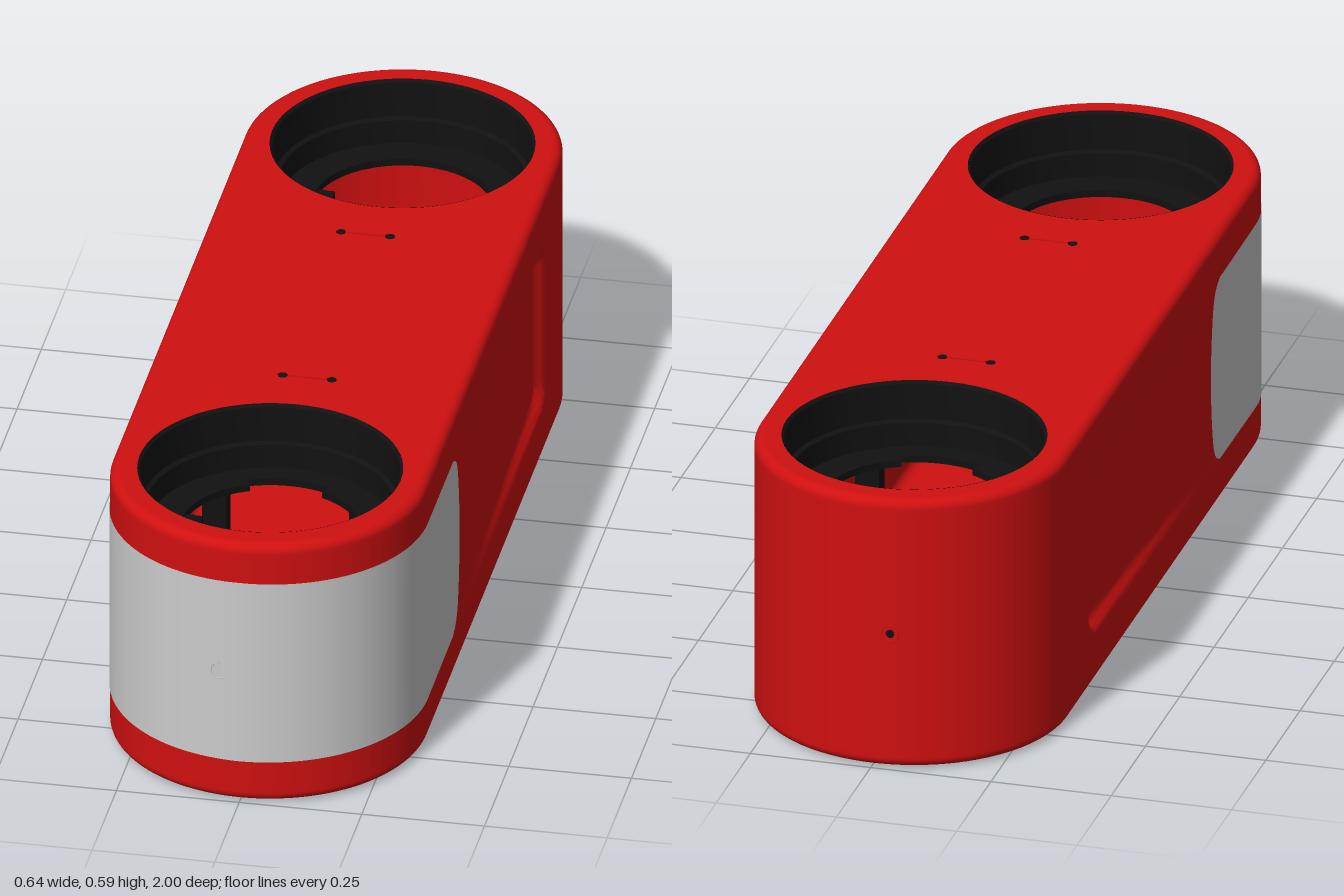
import * as THREE from 'three';
import { toCreasedNormals } from 'three/addons/utils/BufferGeometryUtils.js';

const R = 0.32, C = 0.68, BOTTOM = 0.004, TOP = 0.59, FILLET = 0.02;
const QUARTER = R * Math.PI / 2, HALF = 2 * QUARTER + 2 * C;

const paint = (color) => new THREE.MeshStandardMaterial({ color, side: THREE.DoubleSide });
const red = paint(0xd01010), black = paint(0x111111), grey = paint(0xcccccc), pale = paint(0xffffff);

function add(parent, name, geometry, material, x = 0, y = 0, z = 0) {
  const mesh = new THREE.Mesh(geometry, material);
  mesh.name = name;
  mesh.position.set(x, y, z);
  parent.add(mesh);
  return mesh;
}

// Point on the stadium outline, s measured from the front tip, positive towards +x
function outline(s) {
  const a = Math.abs(s), side = Math.sign(s) || 1;
  let x, z, nx, nz;
  if (a > QUARTER && a < QUARTER + 2 * C) {
    [x, z, nx, nz] = [R, C + QUARTER - a, 1, 0];
  } else {
    const t = (a <= QUARTER ? a : a - 2 * C) / R;
    [nx, nz] = [Math.sin(t), Math.cos(t)];
    [x, z] = [R * nx, (a <= QUARTER ? C : -C) + R * nz];
  }
  return { x: x * side, z, nx: nx * side, nz };
}

// Grid surface from a rule point(u, v), with u and v from 0 to 1
function surface(point, cols, rows) {
  const pos = [], index = [];
  for (let j = 0; j <= rows; j++)
    for (let i = 0; i <= cols; i++) pos.push(...point(i / cols, j / rows));
  for (let j = 0; j < rows; j++)
    for (let i = 0; i < cols; i++) {
      const a = j * (cols + 1) + i, b = a + cols + 1;
      index.push(a, a + 1, b, a + 1, b + 1, b);
    }
  const g = new THREE.BufferGeometry();
  g.setAttribute('position', new THREE.Float32BufferAttribute(pos, 3));
  g.setIndex(index);
  g.computeVertexNormals();
  return g;
}

// Shallow side recess that deepens towards the back, with rounded corners
function recess(p, y) {
  if (Math.abs(p.nx) < 0.999 || p.z > 0.42 || p.z < -0.56) return 0;
  const t = (0.42 - p.z) / 0.95;
  const hy = 0.205 - 0.02 * t, r = 0.05;
  const qx = Math.abs(p.z - 0.08) - 0.61 + r, qy = Math.abs(y - 0.3) - hy + r;
  const d = Math.hypot(Math.max(qx, 0), Math.max(qy, 0)) + Math.min(Math.max(qx, qy), 0) - r;
  return 0.02 * Math.min(t, 1) * THREE.MathUtils.smoothstep(-d, 0, 0.022);
}

function wallPoint(u, v) {
  const p = outline((u * 2 - 1) * HALF);
  // Rounded lower and upper edges take the first and last tenth of the rows
  let y, inset = 0;
  if (v < 0.1 || v > 0.9) {
    const a = (v < 0.1 ? v : 1 - v) / 0.1 * Math.PI / 2;
    inset = FILLET * (1 - Math.sin(a));
    const h = FILLET * (1 - Math.cos(a));
    y = v < 0.1 ? BOTTOM + h : TOP - h;
  } else {
    y = BOTTOM + FILLET + (v - 0.1) / 0.8 * (TOP - BOTTOM - 2 * FILLET);
    inset = recess(p, y);
  }
  return [p.x - p.nx * inset, y, p.z - p.nz * inset];
}

// Grey cover wrapped around the front, its ends bowed towards the back
function coverPoint(u, v) {
  const k = v * 2 - 1;
  const edge = 0.355 + 0.03 * k * k + 0.035 * Math.pow(Math.abs(k), 14);
  const s = (u * 2 - 1) * (QUARTER + C - edge), p = outline(s);
  const y = 0.299 + k * (0.204 - 0.005 * Math.abs(u * 2 - 1));
  return [p.x + p.nx * 0.0015, y, p.z + p.nz * 0.0015];
}

function plate(holeRadius) {
  const r = R - FILLET, shape = new THREE.Shape();
  shape.absarc(0, C, r, 0, Math.PI, false);
  shape.absarc(0, -C, r, Math.PI, 2 * Math.PI, false);
  shape.closePath();
  for (const z of [C, -C]) shape.holes.push(new THREE.Path().absarc(0, z, holeRadius, 0, Math.PI * 2, true));
  return new THREE.ShapeGeometry(shape, 48).rotateX(-Math.PI / 2);
}

const lathe = (points) => toCreasedNormals(
  new THREE.LatheGeometry(points.map(([r, y]) => new THREE.Vector2(r, y)), 64), 0.6);

// Flat ring whose opening widens into a notch on the side facing the middle
function flange(outer) {
  const shape = new THREE.Shape().absarc(0, 0, outer, 0, Math.PI * 2, false);
  const hole = new THREE.Path(), n = 0.42, mid = Math.PI / 2;
  hole.absarc(0, 0, 0.2, mid - n, mid + n, false);
  hole.absarc(0, 0, 0.18, mid + n, mid - n + Math.PI * 2, false);
  hole.closePath();
  shape.holes.push(hole);
  return new THREE.ExtrudeGeometry(shape, { depth: 0.015, bevelEnabled: false, curveSegments: 40 }).rotateX(-Math.PI / 2);
}

function socket(name) {
  const g = new THREE.Group();
  g.name = name;
  add(g, 'upperCup', lathe([[0.266, TOP + 0.001], [0.26, 0.585], [0.257, 0.51], [0.248, 0.505], [0.246, 0.45]]), black);
  add(g, 'upperFlange', flange(0.25), black, 0, 0.44);
  add(g, 'lowerRim', lathe([[0.256, 0.012], [0.252, 0.002], [0.246, 0], [0.222, 0], [0.214, 0.006], [0.211, 0.045]]), black);
  add(g, 'lowerFlange', flange(0.25), black, 0, 0.035);
  for (const s of [-1, 1]) {
    // Posts join the flanges; forked clips reach into the opening
    add(g, 'post', new THREE.BoxGeometry(0.05, 0.4, 0.04), black, s * 0.15, 0.245, -0.2);
    add(g, 'clipBack', new THREE.BoxGeometry(0.03, 0.02, 0.06), black, s * 0.176, 0.44);
    for (const z of [-0.018, 0.018]) add(g, 'clipFinger', new THREE.BoxGeometry(0.022, 0.02, 0.02), black, s * 0.154, 0.44, z);
  }
  return g;
}

export function createModel() {
  const model = new THREE.Group();
  model.name = 'linkArm';

  // Housing
  add(model, 'housingWall', surface(wallPoint, 400, 80), red);
  add(model, 'topPlate', plate(0.265), red, 0, TOP);
  add(model, 'bottomPlate', plate(0.255).rotateX(Math.PI), red, 0, BOTTOM);
  add(model, 'frontCover', surface(coverPoint, 96, 40), grey);

  // Joint sockets at both ends
  const front = socket('frontSocket'), back = socket('backSocket');
  front.position.z = C;
  back.position.z = -C;
  back.rotation.y = Math.PI;
  model.add(front, back);

  // Pairs of small holes joined by a thin raised rib
  for (const z of [-0.3, 0.3])
    for (const y of [TOP, BOTTOM]) {
      for (const x of [-0.05, 0.05])
        add(model, 'screwHole', new THREE.CylinderGeometry(0.01, 0.01, 0.002, 16), black, x, y, z);
      add(model, 'rib', new THREE.BoxGeometry(0.08, 0.007, 0.006), red, 0, y, z);
    }

  // Pin hole through both ends
  for (const s of [1, -1]) {
    const pin = new THREE.Group();
    pin.name = s > 0 ? 'frontPinHole' : 'backPinHole';
    pin.position.set(-0.04, 0.298, s * 0.9995);
    if (s < 0) pin.rotation.y = Math.PI;
    add(pin, 'pinSeat', new THREE.RingGeometry(0.009, 0.018, 24), s > 0 ? grey : red);
    add(pin, 'pinEdge', new THREE.TorusGeometry(0.018, 0.001, 6, 24), s > 0 ? grey : red);
    add(pin, 'pinBore', new THREE.CircleGeometry(0.009, 20), s > 0 ? pale : black);
    model.add(pin);
  }
  return model;
}
